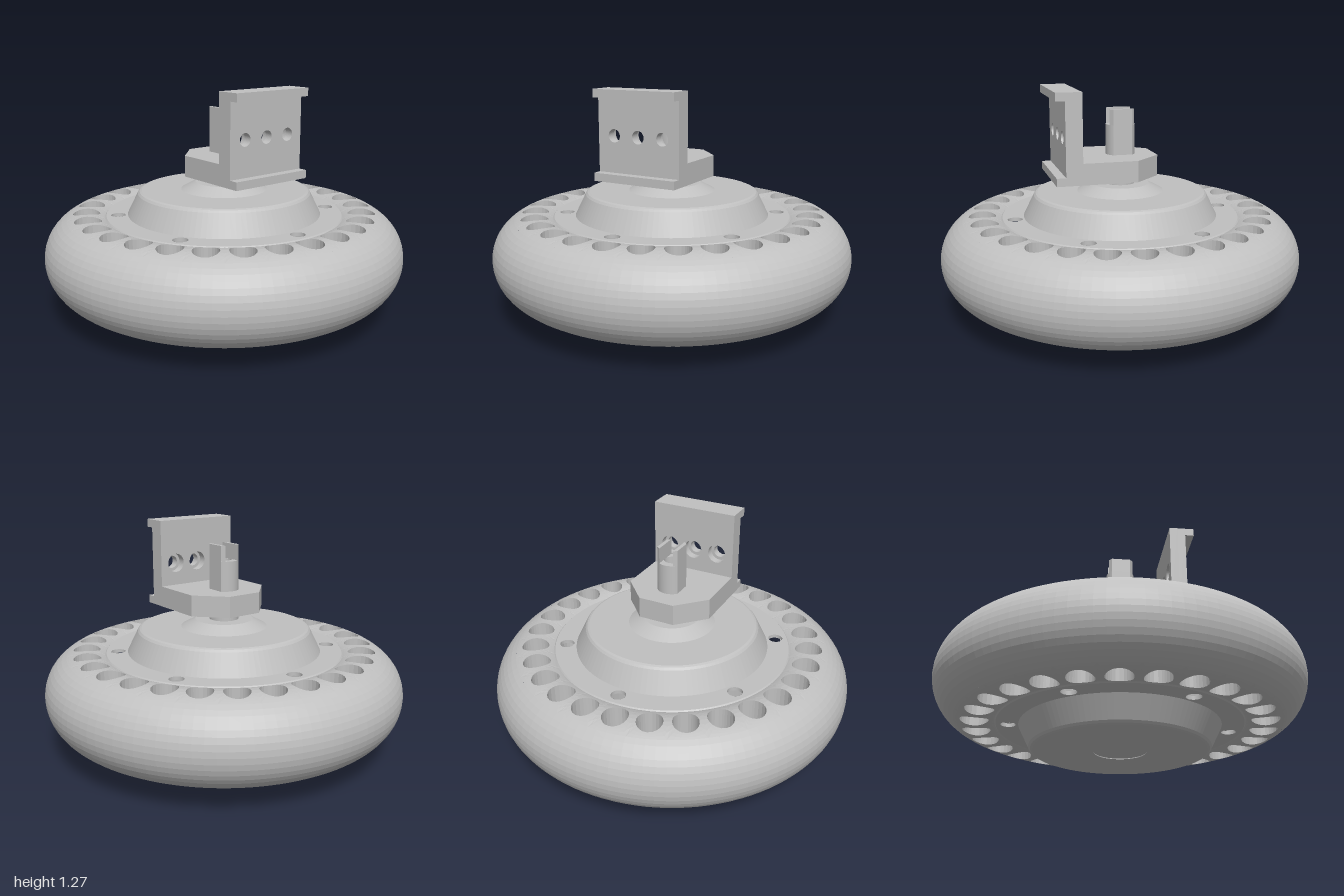
import * as THREE from 'three';

const MID = 0.345;    // height of the wheel's middle plane
const RING = 0.767;   // centre line radius of the tyre
const TUBE = 0.233;   // tyre section radius
const HOLES = 28;

const grey = new THREE.MeshStandardMaterial({ color: 0xc0c0c0, flatShading: true });

function add(parent, name, geometry) {
  const mesh = new THREE.Mesh(geometry, grey);
  mesh.name = name;
  parent.add(mesh);
  return mesh;
}

const lathe = (pts, segments = 112) =>
  new THREE.LatheGeometry(pts.map(([r, y]) => new THREE.Vector2(r, y)), segments);

const polygon = (pts) => new THREE.Shape(pts.map(([x, y]) => new THREE.Vector2(x, y)));

const extrude = (shape, depth) =>
  new THREE.ExtrudeGeometry(shape, { depth, bevelEnabled: false, curveSegments: 24 });

// Extrude upwards from height y; the shape's second axis points to the back
const extrudeUp = (shape, y, height) =>
  extrude(shape, height).rotateX(-Math.PI / 2).translate(0, y, 0);

function punch(shape, x, y, r) {
  shape.holes.push(new THREE.Path().absarc(x, y, r, 0, Math.PI * 2, true));
  return shape;
}

// Tyre side wall: a ring of cells, each with a blind round pocket
function pocketRing(side) {
  const pos = [], index = [], n = 6, count = n * 4, steps = 3;
  const corners = [[1, -1], [1, 1], [-1, 1], [-1, -1]];
  const tri = (a, b, c) => index.push(...(side > 0 ? [a, b, c] : [a, c, b]));
  for (let h = 0; h < HOLES; h++) {
    const mid = (h + 0.5) * Math.PI * 2 / HOLES;
    const base = pos.length / 3;
    const put = (r, t, y) => pos.push(r * Math.sin(t), MID + side * y, r * Math.cos(t));
    for (let k = 0; k <= steps + 1; k++) {
      const f = Math.min(k / steps, 1);
      for (let i = 0; i < count; i++) {
        const p = corners[Math.floor(i / n)], q = corners[(Math.floor(i / n) + 1) % 4];
        const s = (i % n) / n;
        const a = p[0] + (q[0] - p[0]) * s, b = p[1] + (q[1] - p[1]) * s;
        const len = Math.hypot(a, b);
        const r = RING + THREE.MathUtils.lerp(0.107 * a, 0.075 * a / len, f);
        const t = mid + THREE.MathUtils.lerp(b * Math.PI / HOLES, 0.066 * b / len / RING, f);
        put(r, t, k > steps ? 0.08 : Math.sqrt(TUBE ** 2 - (r - RING) ** 2));
      }
    }
    const centre = pos.length / 3;
    put(RING, mid, 0.08);
    for (let i = 0; i < count; i++) {
      const j = (i + 1) % count;
      for (let k = 0; k <= steps; k++) {
        const o = base + k * count, m = o + count;
        tri(o + i, o + j, m + i);
        tri(o + j, m + j, m + i);
      }
      const last = base + (steps + 1) * count;
      tri(last + i, last + j, centre);
    }
  }
  const g = new THREE.BufferGeometry();
  g.setAttribute('position', new THREE.Float32BufferAttribute(pos, 3));
  g.setIndex(index);
  g.computeVertexNormals();
  return g;
}

function buildTyre() {
  const tyre = new THREE.Group();
  tyre.name = 'tyre';
  const edge = Math.acos(0.107 / TUBE);
  const tread = [];
  for (let i = 0; i <= 16; i++) {
    const a = -edge + 2 * edge * i / 16;
    tread.push([RING + TUBE * Math.cos(a), MID + TUBE * Math.sin(a)]);
  }
  add(tyre, 'tread', lathe(tread));
  add(tyre, 'upperPockets', pocketRing(1));
  add(tyre, 'lowerPockets', pocketRing(-1));
  return tyre;
}

function buildHub() {
  const hub = new THREE.Group();
  hub.name = 'hub';
  // Motor housing with conical covers, small boss on top and flush plug below
  add(hub, 'housing', lathe([
    [0, 0.004], [0.14, 0.004], [0.14, 0], [0.46, 0], [0.472, 0.005], [0.482, 0.016],
    [0.54, 0.13], [0.54, 0.56],
    [0.482, 0.677], [0.472, 0.688], [0.46, 0.693], [0.24, 0.693], [0.16, 0.735], [0, 0.735],
  ]));
  // Rim wall with chamfered edges
  add(hub, 'rimWall', lathe([[0.658, 0.13], [0.668, 0.14], [0.668, 0.55], [0.658, 0.56]]));

  // Flanges with six screw recesses on each side
  const flange = new THREE.Shape().absarc(0, 0, 0.658, 0, Math.PI * 2);
  punch(flange, 0, 0, 0.535);
  const spots = [];
  for (let i = 0; i < 6; i++) {
    const a = Math.PI / 2 + i * Math.PI / 3;
    spots.push([0.593 * Math.cos(a), 0.593 * Math.sin(a)]);
    punch(flange, ...spots[i], 0.04);
  }
  const plate = new THREE.ExtrudeGeometry(flange, { depth: 0.02, bevelEnabled: false, curveSegments: 56 })
    .rotateX(-Math.PI / 2);
  add(hub, 'upperFlange', plate).position.y = 0.54;
  add(hub, 'lowerFlange', plate).position.y = 0.13;

  const recess = lathe([[0, -0.05], [0.018, -0.05], [0.018, -0.022], [0.03, -0.022], [0.04, 0]].reverse(), 20);
  // Recess surfaces face the opening
  recess.index.array.reverse();
  recess.computeVertexNormals();
  const faceUp = new THREE.Vector3();
  faceUp.fromBufferAttribute(recess.attributes.normal, 0);
  for (const [x, z] of spots) {
    for (const side of [1, -1]) {
      const screw = add(hub, 'screwRecess', recess);
      screw.position.set(x, side > 0 ? 0.56 : 0.13, z);
      if (side < 0) screw.rotation.x = Math.PI;
    }
  }
  return hub;
}

function buildAxle() {
  const axle = new THREE.Group();
  axle.name = 'axle';
  add(axle, 'axleNeck', new THREE.CylinderGeometry(0.082, 0.082, 0.1, 40)).position.y = 0.76;
  // Shaft with two flats, bored at the end
  const a = Math.acos(0.75);
  const section = () => new THREE.Shape()
    .absarc(0, 0, 0.08, a, Math.PI - a)
    .absarc(0, 0, 0.08, Math.PI + a, 2 * Math.PI - a);
  add(axle, 'axleShaft', extrudeUp(section(), 0.8, 0.2));
  add(axle, 'axleBore', extrudeUp(punch(section(), 0, 0, 0.042), 1.0, 0.065));
  // Prongs on either side of the slot
  for (const s of [1, -1]) {
    const prong = polygon([[0.04, -0.069], [0.06, -0.053], [0.06, 0.053], [0.04, 0.069]]
      .map(([x, y]) => [x * s, y]));
    add(axle, 'axleProng', extrudeUp(prong, 1.065, 0.085));
  }
  return axle;
}

function buildBracket() {
  const bracket = new THREE.Group();
  bracket.name = 'mountingBracket';
  // Foot with chamfered back corners
  add(bracket, 'bracketFoot', extrudeUp(polygon([
    [-0.242, -0.27], [0.242, -0.27], [0.242, 0.035], [0.1, 0.185], [-0.1, 0.185], [-0.242, 0.035],
  ]), 0.785, 0.115));
  // Upright plate with three counterbored holes
  const layers = [['uprightFront', 0.305, 0.045, 0.035], ['uprightBack', 0.26, 0.045, 0.052]];
  for (const [name, z, depth, r] of layers) {
    const plate = polygon([[-0.242, 0.785], [0.242, 0.785], [0.242, 1.267], [-0.242, 1.267]]);
    for (const x of [-0.145, 0, 0.145]) punch(plate, x, 1.025, r);
    add(bracket, name, extrude(plate, depth).translate(0, 0, z));
  }
  // Lips along the top and bottom edges
  for (const [name, y] of [['lowerLip', 0.807], ['upperLip', 1.245]])
    add(bracket, name, new THREE.BoxGeometry(0.484, 0.044, 0.05)).position.set(0, y, 0.375);
  return bracket;
}

export function createModel() {
  const model = new THREE.Group();
  model.name = 'hubMotorWheel';
  model.add(buildTyre(), buildHub(), buildAxle(), buildBracket());
  return model;
}
